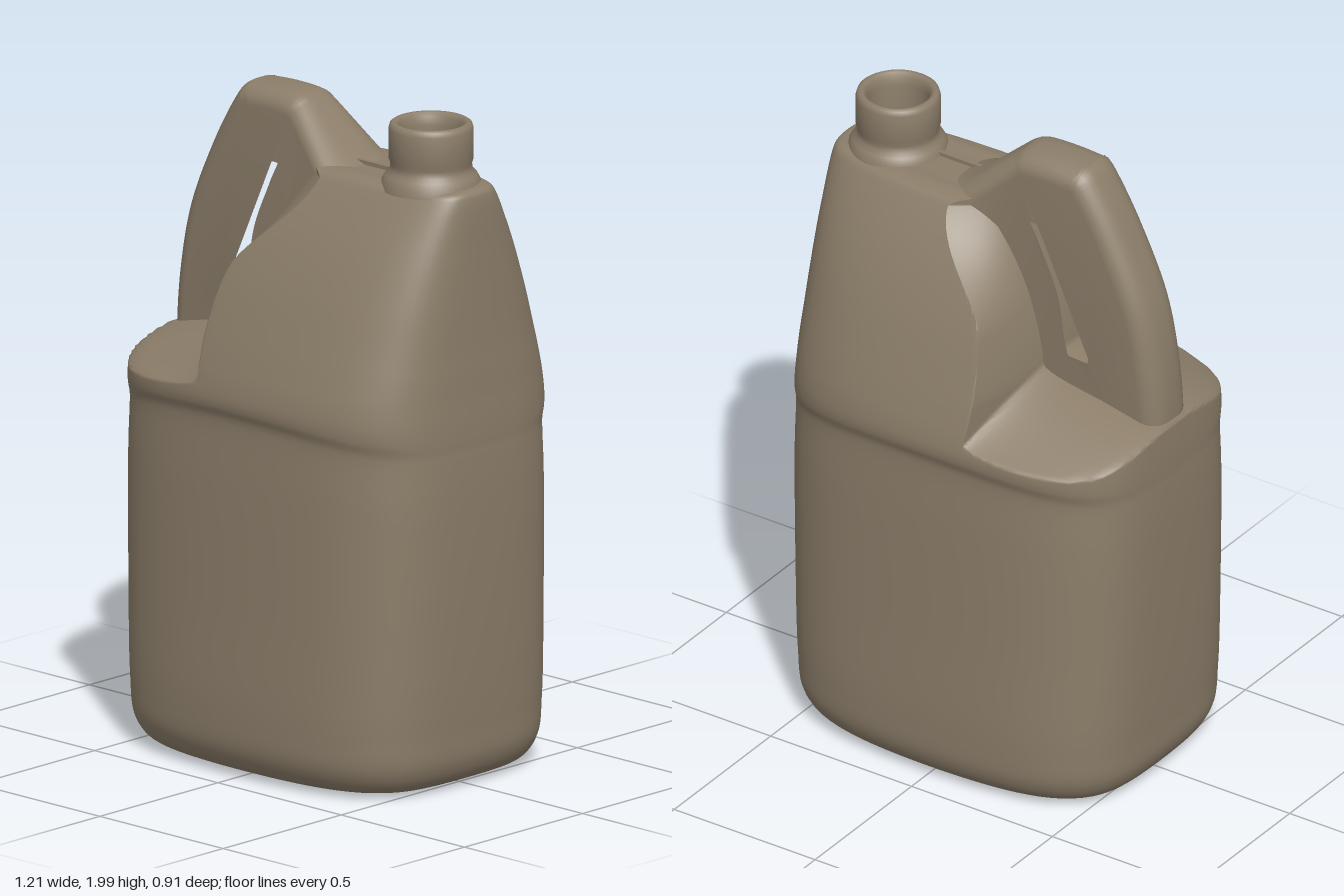
import * as THREE from 'three';
import { toCreasedNormals } from 'three/addons/utils/BufferGeometryUtils.js';

const plastic = new THREE.MeshStandardMaterial({ color: 0x8b7d69 });
plastic.name = 'tan plastic';

const clamp01 = (v) => Math.min(1, Math.max(0, v));

function part(name, geometry) {
  const mesh = new THREE.Mesh(geometry, plastic);
  mesh.name = name;
  return mesh;
}

// Left limit of the body: open below the crowned shelf, a leaning wall above it
function leftLimit(y, z) {
  const lean = 0.16 * Math.pow(clamp01((y - 1.3) / 0.5), 1.5);
  const flare = z * z * (0.3 + 4.5 * clamp01((y - 1.5) / 0.3) ** 2);
  const wall = -0.2 + lean + flare;
  const shelf = 1.33 - 0.13 * (z / 0.42) ** 2;
  return -0.63 + (wall + 0.63) * THREE.MathUtils.smoothstep(y, shelf - 0.14, shelf);
}

// Body: barrel-sided rounded rectangles lofted upwards, [y, half width, half depth]
function bodyGeometry() {
  const keys = [
    [0.006, 0, 0], [0.006, 0.3, 0.2], [0.01, 0.46, 0.33], [0.03, 0.54, 0.41], [0.09, 0.575, 0.446],
    [0.2, 0.585, 0.456], [0.5, 0.597, 0.451], [0.9, 0.604, 0.443], [1.02, 0.602, 0.437],
    [1.045, 0.601, 0.439], [1.08, 0.601, 0.449], [1.13, 0.6, 0.451], [1.2, 0.597, 0.442],
    [1.27, 0.595, 0.423], [1.34, 0.592, 0.4], [1.5, 0.588, 0.34], [1.65, 0.584, 0.267],
    [1.785, 0.579, 0.18], [1.81, 0.572, 0.158], [1.82, 0.55, 0.13], [1.82, 0.3, 0.07], [1.82, 0, 0],
  ];
  const path = new THREE.CatmullRomCurve3(keys.map(([y, w, d]) => new THREE.Vector3(w, y, d)));
  const rings = path.getPoints((keys.length - 1) * 8);
  const sides = 128, n = 5, positions = [], index = [];
  rings.forEach((ring, i) => {
    for (let j = 0; j < sides; j++) {
      const a = (j / sides) * Math.PI * 2;
      const c = Math.cos(a), s = Math.sin(a);
      const r = 1 / Math.pow(Math.abs(c) ** n + Math.abs(s) ** n, 1 / n);
      const u = r * c, v = r * s;
      const z = ring.z * v * (1 - 0.13 * u * u);
      const x = Math.max(ring.x * u * (1 - 0.05 * v * v), leftLimit(ring.y, z));
      // The waist ledge arches up towards the middle
      const arch = 0.05 * (1 - (x / 0.61) ** 2) * Math.exp(-(((ring.y - 1.05) / 0.1) ** 2));
      positions.push(x, ring.y + arch, z);
      if (i < rings.length - 1) {
        const p = i * sides + j, q = i * sides + ((j + 1) % sides);
        index.push(p, p + sides, q, q, p + sides, q + sides);
      }
    }
  });
  const geometry = new THREE.BufferGeometry();
  geometry.setAttribute('position', new THREE.Float32BufferAttribute(positions, 3));
  geometry.setIndex(index);
  geometry.computeVertexNormals();
  return geometry;
}

// Handle: rounded loop with a finger hole, flaring into the shoulder
function handleGeometry() {
  const pts = (list) => list.map(([x, y]) => new THREE.Vector2(x, y));
  const shape = new THREE.Shape();
  shape.moveTo(-0.575, 1.08);
  shape.splineThru(pts([[-0.587, 1.2], [-0.57, 1.4], [-0.525, 1.6], [-0.43, 1.81], [-0.34, 1.96], [-0.3, 1.995]]));
  shape.splineThru(pts([[-0.2, 2], [-0.1, 1.995], [-0.06, 1.975]]));
  shape.lineTo(0.09, 1.84);
  shape.lineTo(0.2, 1.8);
  shape.lineTo(0.2, 1.08);
  shape.closePath();
  const hole = new THREE.Path();
  const rim = pts([
    [-0.4, 1.33], [-0.405, 1.42], [-0.38, 1.58], [-0.33, 1.71], [-0.26, 1.8], [-0.19, 1.84], [-0.11, 1.835],
    [-0.08, 1.78], [-0.12, 1.69], [-0.18, 1.55], [-0.205, 1.4], [-0.235, 1.325], [-0.3, 1.31], [-0.38, 1.31],
  ]);
  hole.moveTo(rim[0].x, rim[0].y);
  hole.splineThru([...rim.slice(1), rim[0].clone()]);
  shape.holes.push(hole);
  const geometry = new THREE.ExtrudeGeometry(shape, {
    depth: 0.04, bevelThickness: 0.075, bevelSize: 0.06, bevelOffset: -0.06, bevelSegments: 7, curveSegments: 40,
  });
  geometry.translate(0, 0, -0.02);
  const p = geometry.attributes.position;
  for (let i = 0; i < p.count; i++) {
    const flare = 1 + 0.55 * THREE.MathUtils.smoothstep(p.getX(i), -0.1, 0.1);
    p.setZ(i, p.getZ(i) * flare + 0.005);
  }
  return toCreasedNormals(geometry, 0.8);
}

// Neck: collar, spout wall, rounded lip and hollow inside
function neckGeometry() {
  const profile = [
    [0.15, 1.8], [0.145, 1.825], [0.135, 1.843], [0.122, 1.855], [0.12, 1.875], [0.125, 1.89], [0.125, 1.98],
    [0.121, 1.994], [0.112, 2], [0.102, 1.998], [0.094, 1.985], [0.09, 1.96], [0.09, 1.86], [0, 1.86],
  ].map(([r, y]) => new THREE.Vector2(r, y));
  return toCreasedNormals(new THREE.LatheGeometry(profile, 48), 0.9);
}

export function createModel() {
  const group = new THREE.Group();
  group.name = 'jug';
  group.add(part('body', bodyGeometry()));
  group.add(part('handle', handleGeometry()));
  const neck = part('neck', neckGeometry());
  neck.position.set(0.4, 0, 0.015);
  group.add(neck);
  // Small moulding seam between handle and neck
  const seam = part('seam', new THREE.BoxGeometry(0.2, 0.03, 0.012));
  seam.position.set(0.18, 1.817, 0.025);
  group.add(seam);
  return group;
}
